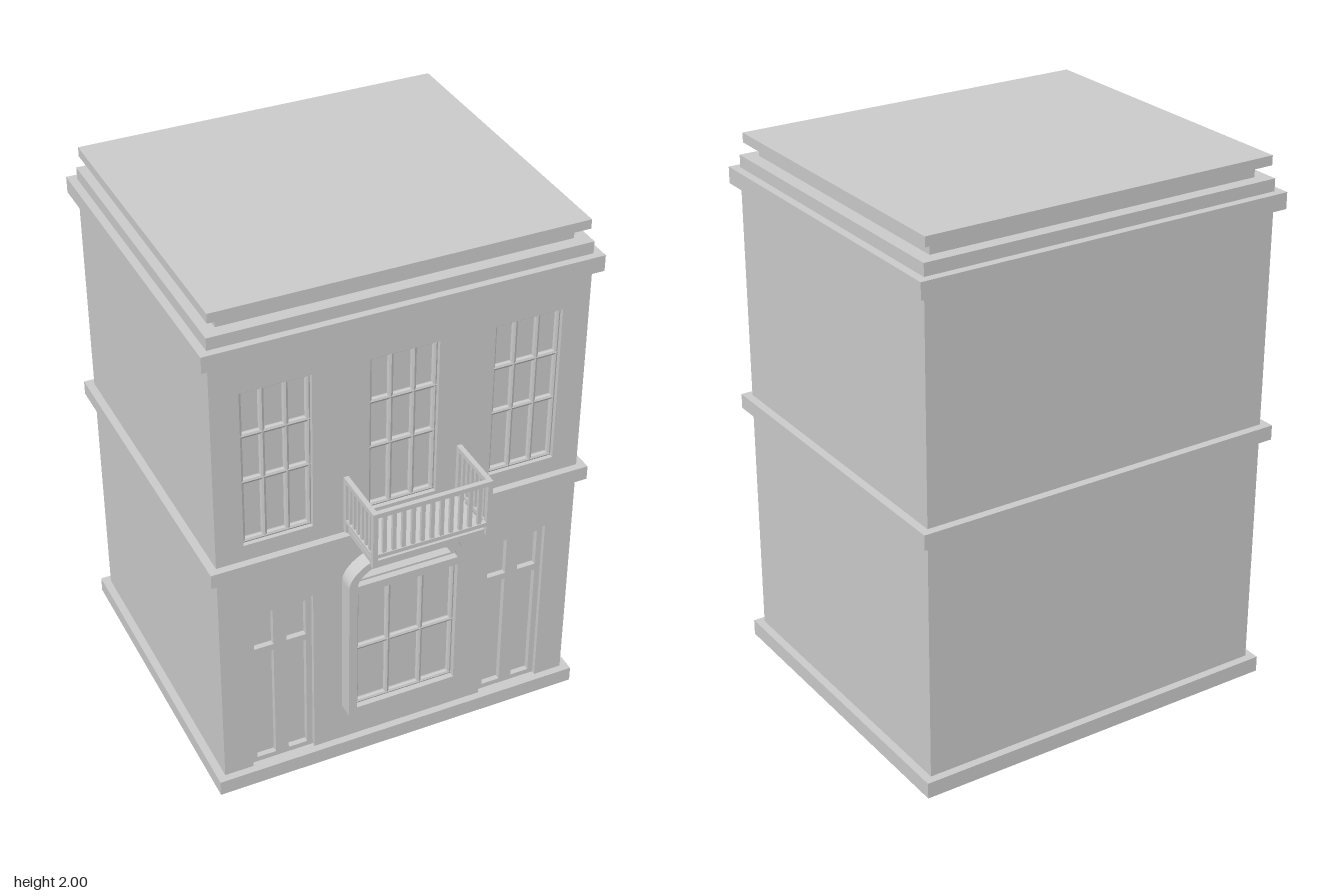
import * as THREE from 'three';

const material = new THREE.MeshStandardMaterial({ color: 0xcccccc, flatShading: true });
const WALL_Z = 0.497, BACK_Z = -0.695, CORE_Z = 0.46;

function add(parent, name, geometry, x = 0, y = 0, z = 0) {
  const mesh = new THREE.Mesh(geometry, material);
  mesh.name = name;
  mesh.position.set(x, y, z);
  parent.add(mesh);
  return mesh;
}

// Box given by its extents on each axis
function block(parent, name, x0, x1, y0, y1, z0, z1) {
  return add(parent, name, new THREE.BoxGeometry(x1 - x0, y1 - y0, z1 - z0),
    (x0 + x1) / 2, (y0 + y1) / 2, (z0 + z1) / 2);
}

function rect(Type, x0, x1, y0, y1) {
  const p = new Type();
  p.moveTo(x0, y0);
  p.lineTo(x1, y0);
  p.lineTo(x1, y1);
  p.lineTo(x0, y1);
  p.closePath();
  return p;
}

// Straight sides from y0 to spring, closed by a half ellipse
function arched(Type, halfWidth, y0, spring, rise) {
  const p = new Type();
  p.moveTo(-halfWidth, y0);
  p.lineTo(halfWidth, y0);
  if (spring > y0) p.lineTo(halfWidth, spring);
  p.absellipse(0, spring, halfWidth, rise, 0, Math.PI, false);
  p.closePath();
  return p;
}

function panel(parent, name, shape, holes, z0, z1) {
  shape.holes.push(...holes);
  const geometry = new THREE.ExtrudeGeometry(shape, { depth: z1 - z0, bevelEnabled: false, curveSegments: 24 });
  return add(parent, name, geometry, 0, 0, z0);
}

// Frame and glazing bars of a window
function glazing(parent, name, x0, x1, y0, y1, rows, z) {
  const group = new THREE.Group();
  group.name = name;
  parent.add(group);
  const r = 0.011;
  for (let i = 0; i <= 3; i++) {
    const inset = i === 0 ? r / 2 : i === 3 ? -r / 2 : 0;
    add(group, 'uprightBar', new THREE.CylinderGeometry(r, r, y1 - y0, 8),
      x0 + (x1 - x0) * i / 3 + inset, (y0 + y1) / 2, z);
  }
  for (const y of [y0 + r / 2, ...rows, y1 - r / 2]) {
    add(group, 'crossBar', new THREE.CylinderGeometry(r, r, x1 - x0, 8), (x0 + x1) / 2, y, z)
      .rotation.z = Math.PI / 2;
  }
}

// Moulding running round the whole building
function course(parent, name, halfWidth, y0, y1, zBack, zFront) {
  block(parent, name, -halfWidth, halfWidth, y0, y1, zBack, zFront);
}

function buildDoor(parent, side) {
  const x0 = side < 0 ? -0.575 : 0.335;
  const holes = [];
  for (const dx of [0.022, 0.145]) {
    holes.push(rect(THREE.Path, x0 + dx, x0 + dx + 0.073, 0.08, 0.566));
    holes.push(rect(THREE.Path, x0 + dx, x0 + dx + 0.073, 0.593, 0.746));
  }
  panel(parent, side < 0 ? 'rightDoor' : 'leftDoor',
    rect(THREE.Shape, x0, x0 + 0.24, 0.05, 0.773), holes, CORE_Z, 0.481);
}

function buildBay(parent) {
  const bay = new THREE.Group();
  bay.name = 'bayWindow';
  parent.add(bay);
  panel(bay, 'baySurround', arched(THREE.Shape, 0.225, 0.215, 0.8, 0.123), [
    rect(THREE.Path, -0.193, 0.193, 0.243, 0.77),
    arched(THREE.Path, 0.192, 0.803, 0.803, 0.09),
  ], WALL_Z - 0.005, 0.555);
  block(bay, 'bayGlass', -0.2, 0.2, 0.23, 0.8, WALL_Z, 0.515);
  glazing(bay, 'bayGlazing', -0.193, 0.193, 0.243, 0.77, [0.505], 0.524);
  // Fanlight frame under the arch
  panel(bay, 'fanlightFrame', arched(THREE.Shape, 0.192, 0.803, 0.803, 0.09),
    [arched(THREE.Path, 0.178, 0.811, 0.811, 0.066)], WALL_Z, 0.53);
}

function buildBalcony(parent) {
  const balcony = new THREE.Group();
  balcony.name = 'balcony';
  parent.add(balcony);
  const w = 0.22, t = 0.018, front = 0.725;
  block(balcony, 'balconyFloor', -0.21, 0.21, 1.013, 1.037, WALL_Z, 0.712);
  for (const [name, y0, y1] of [['topRail', 1.225, 1.243], ['bottomRail', 1.058, 1.073]]) {
    block(balcony, name, -w, w, y0, y1, front - t, front);
    for (const s of [-1, 1]) {
      const a = s * w, b = s * (w - t);
      block(balcony, name, Math.min(a, b), Math.max(a, b), y0, y1, WALL_Z, front - t);
    }
  }
  // Corner and wall posts, then side balusters
  for (const s of [-1, 1]) {
    const x = s * (w - t / 2);
    for (const z of [front - t / 2, WALL_Z + t / 2]) {
      block(balcony, 'post', x - t / 2, x + t / 2, 1.02, 1.225, z - t / 2, z + t / 2);
    }
    for (let i = 1; i < 7; i++) {
      const z = WALL_Z + t / 2 + (front - WALL_Z - t) * i / 7;
      add(balcony, 'sideBaluster', new THREE.BoxGeometry(0.012, 0.155, 0.013), x, 1.149, z);
    }
  }
  for (let i = 1; i < 12; i++) {
    const x = -w + t / 2 + (2 * w - t) * i / 12;
    add(balcony, 'frontBaluster', new THREE.BoxGeometry(0.014, 0.155, 0.012), x, 1.149, front - t / 2);
  }
}

export function createModel() {
  const house = new THREE.Group();
  house.name = 'townHouse';

  // Solid core behind a pierced front wall
  block(house, 'walls', -0.685, 0.685, 0.03, 1.92, BACK_Z, CORE_Z);
  const windows = [-0.458, 0, 0.458].map((x) => [x - 0.126, x + 0.126, 1.075, 1.685]);
  const openings = windows.map((w) => rect(THREE.Path, ...w));
  for (const s of [-1, 1]) {
    openings.push(rect(THREE.Path, s * 0.455 - 0.12, s * 0.455 + 0.12, 0.05, 0.773));
  }
  panel(house, 'frontWall', rect(THREE.Shape, -0.685, 0.685, 0.03, 1.92), openings, CORE_Z, WALL_Z);

  // Mouldings and stepped roof
  course(house, 'plinth', 0.715, 0, 0.06, -0.725, 0.525);
  course(house, 'floorBand', 0.715, 0.957, 1.012, -0.725, 0.525);
  course(house, 'cornice', 0.715, 1.815, 1.875, -0.725, 0.525);
  course(house, 'roofStep', 0.635, 1.91, 1.966, -0.648, 0.45);
  course(house, 'roofSlab', 0.675, 1.965, 2, -0.687, 0.487);

  for (const w of windows) glazing(house, 'upperWindow', ...w, [1.323, 1.505], 0.472);
  for (const s of [-1, 1]) buildDoor(house, s);
  buildBay(house);
  buildBalcony(house);
  return house;
}
